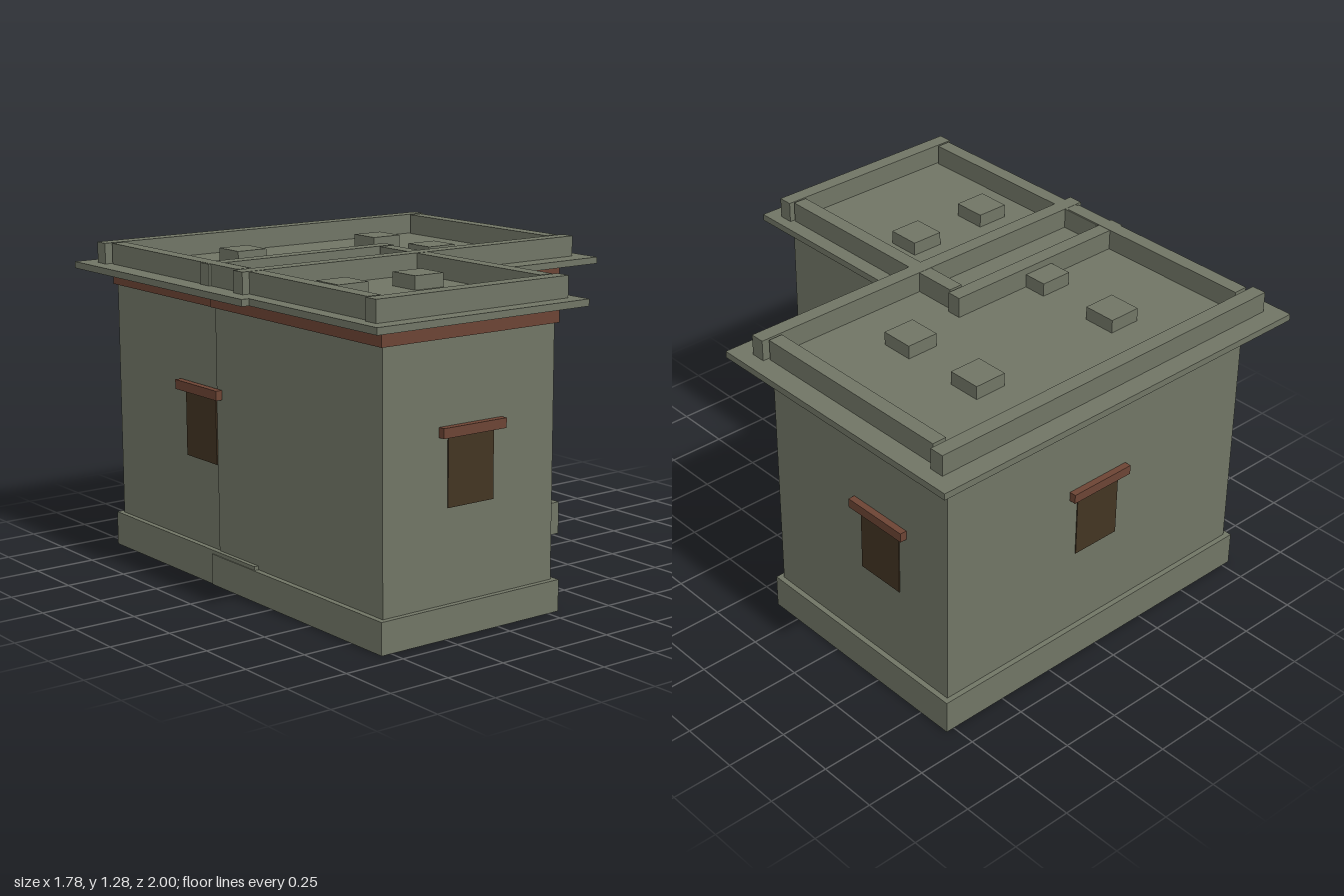
import * as THREE from 'three';

function material(name, color, side = THREE.FrontSide) {
  const m = new THREE.MeshStandardMaterial({ color, side });
  m.name = name;
  return m;
}

export function createModel() {
  const model = new THREE.Group();
  model.name = 'flatRoofedHouse';
  const plaster = material('grey green plaster', 0x707565, THREE.DoubleSide);
  const wood = material('red brown wood', 0x6c4434);
  const dark = material('dark brown opening', 0x423422);
  const footing = material('dark green footing', 0x2f5228, THREE.DoubleSide);

  // Box given by its limits; openBelow leaves out the underside
  function box(parent, name, mat, [x0, x1], [y0, y1], [z0, z1], openBelow = false) {
    const g = new THREE.BoxGeometry(x1 - x0, y1 - y0, z1 - z0);
    if (openBelow) {
      const index = Array.from(g.index.array);
      index.splice(18, 6);
      g.setIndex(index);
      g.clearGroups();
    }
    const mesh = new THREE.Mesh(g, mat);
    mesh.name = name;
    mesh.position.set((x0 + x1) / 2, (y0 + y1) / 2, (z0 + z1) / 2);
    parent.add(mesh);
    return mesh;
  }

  // One storey block: hollow plinth, walls, wooden band, slab, parapets, footings, roof blocks
  function block(name, b) {
    const g = new THREE.Group();
    g.name = name;
    model.add(g);
    const grow = (r, d) => [r[0] - d, r[1] + d];
    box(g, 'plinth', plaster, grow(b.x, 0.022), [0, b.plinth], grow(b.z, 0.022), true);
    box(g, 'walls', plaster, b.x, [b.plinth, 1.15], b.z);
    box(g, 'woodBand', wood, grow(b.x, 0.013), [1.11, 1.173], grow(b.z, 0.013));
    box(g, 'roofSlab', plaster, b.slabX, [1.173, 1.2], b.slabZ);
    for (const z of b.endWalls) box(g, 'parapetEnd', plaster, b.endX, [1.2, b.top], [z, z + 0.061]);
    for (const x of b.sideWalls) box(g, 'parapetSide', plaster, [x, x + 0.06], [1.2, b.top], b.sideZ);
    for (const [x, z] of b.bumps)
      box(g, 'roofBlock', plaster, [x - 0.069, x + 0.069], [1.2, 1.255], [z - 0.069, z + 0.069]);
    for (const i of [0, 1]) for (const j of [0, 1]) {
      const x = b.x[i] + (i ? -0.056 : 0.056), z = b.z[j] + (j ? -0.056 : 0.056);
      box(g, 'footing', footing, [x - 0.068, x + 0.068], [0.002, 0.05], [z - 0.068, z + 0.068], true);
    }
  }

  block('mainBlock', {
    x: [-0.767, 0.763], z: [-0.875, 0.107], plinth: 0.14, top: 1.285,
    slabX: [-0.895, 0.888], slabZ: [-1, 0.228],
    endWalls: [-0.918, 0.081], endX: [-0.833, 0.825],
    sideWalls: [-0.808, 0.741], sideZ: [-0.842, 0.07],
    bumps: [[-0.351, -0.572], [0.344, -0.572], [-0.351, -0.2], [0.344, -0.2]],
  });
  block('frontWing', {
    x: [-0.771, 0.029], z: [-0.14, 0.91], plinth: 0.125, top: 1.284,
    slabX: [-0.863, 0.117], slabZ: [-0.23, 1],
    endWalls: [-0.17, 0.874], endX: [-0.817, 0.072],
    sideWalls: [-0.802, -0.006], sideZ: [-0.097, 0.866],
    bumps: [[-0.552, 0.383], [-0.193, 0.383]],
  });

  // Windows with lintels, turned to face outward from each wall
  const windows = [
    [-0.37, 0.91, 0],
    [0.005, -0.875, Math.PI],
    [0.763, -0.505, Math.PI / 2],
    [0.029, 0.386, Math.PI / 2],
    [-0.771, -0.25, -Math.PI / 2],
  ];
  for (const [x, z, turn] of windows) {
    const w = new THREE.Group();
    w.name = 'window';
    box(w, 'windowPane', dark, [-0.107, 0.107], [0.487, 0.755], [-0.003, 0.004]);
    box(w, 'windowLintel', wood, [-0.147, 0.147], [0.752, 0.79], [0, 0.028]);
    w.position.set(x, 0, z);
    w.rotation.y = turn;
    model.add(w);
  }

  // Door in the inner corner, with lintel and canopy
  const entrance = new THREE.Group();
  entrance.name = 'entrance';
  model.add(entrance);
  box(entrance, 'door', dark, [0.02, 0.15], [0.14, 0.71], [0.104, 0.112]);
  box(entrance, 'doorLintel', wood, [0.02, 0.22], [0.738, 0.792], [0.1, 0.146]);
  box(entrance, 'doorCanopy', wood, [0.02, 0.365], [0.748, 0.767], [0.1, 0.34]);

  return model;
}
